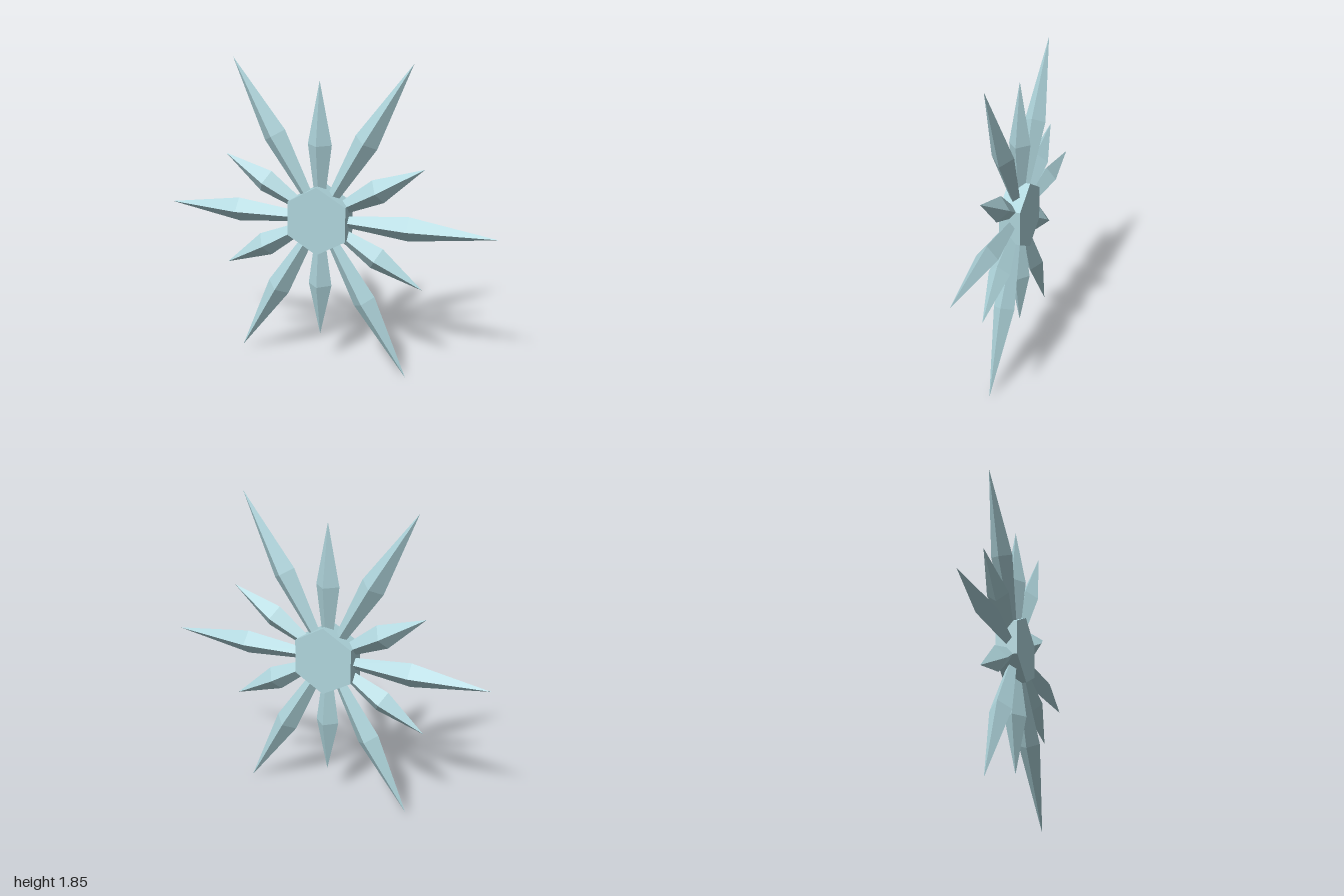
import * as THREE from 'three';

// Tip and shoulder distance of each spike from the centre, every 30 degrees from +x
const SPIKES = [
  [1.03, 0.53], [0.705, 0.4], [1.06, 0.548], [0.8, 0.44],
  [1.045, 0.547], [0.68, 0.388], [0.968, 0.515], [0.697, 0.4],
  [1.036, 0.535], [0.735, 0.41], [1.076, 0.552], [0.715, 0.4],
];
const HALF_DEPTH = 0.063;
const HALF_WIDTH = 0.072;

// Four-sided crystal growing along +y, with a ridge at the front and back
function spikeGeometry(tip, shoulder) {
  const profile = [[0, 0.1], [0.028, 0.1], [HALF_WIDTH, shoulder], [0, tip]];
  const geometry = new THREE.LatheGeometry(profile.map(([r, y]) => new THREE.Vector2(r, y)), 4);
  return geometry.scale(1, 1, HALF_DEPTH / HALF_WIDTH);
}

export function createModel() {
  const model = new THREE.Group();
  model.name = 'snowflake';
  const ice = new THREE.MeshStandardMaterial({ color: 0xafd5dc });
  ice.name = 'paleIce';
  ice.flatShading = true;

  const flake = new THREE.Group();
  flake.name = 'flake';
  flake.position.set(-0.031, 0.932, 0);
  model.add(flake);

  // Hexagonal hub with corners at top and bottom
  const hubGeometry = new THREE.CylinderGeometry(0.204, 0.204, 2 * HALF_DEPTH, 6);
  hubGeometry.rotateX(Math.PI / 2);
  const hub = new THREE.Mesh(hubGeometry, ice);
  hub.name = 'hub';
  flake.add(hub);

  // Ring of spikes
  SPIKES.forEach(([tip, shoulder], i) => {
    const spike = new THREE.Mesh(spikeGeometry(tip, shoulder), ice);
    spike.name = `${i % 2 ? 'short' : 'long'}Spike${i + 1}`;
    spike.rotation.z = (i * Math.PI) / 6 - Math.PI / 2;
    flake.add(spike);
  });
  return model;
}
